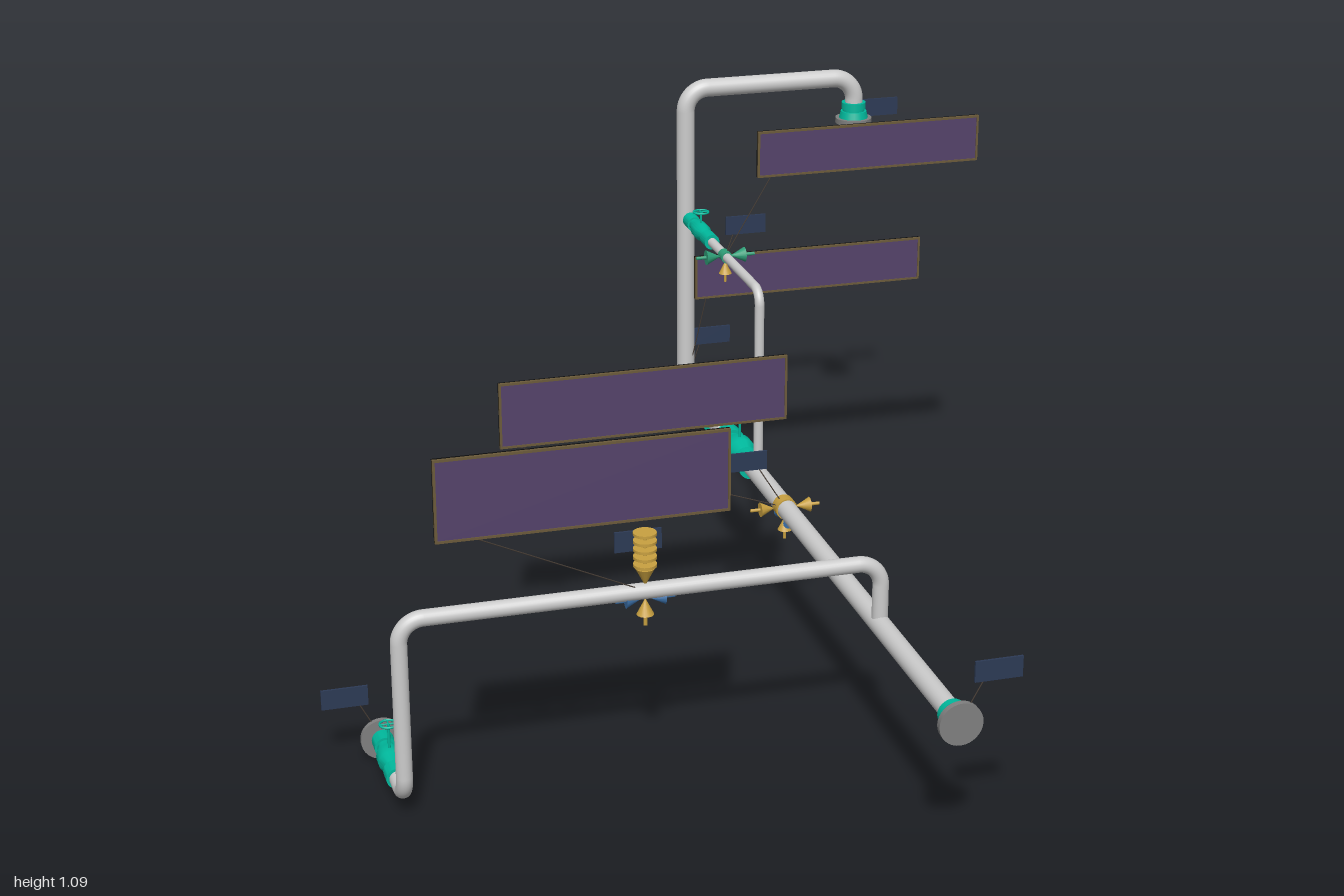
import * as THREE from 'three';
import { toCreasedNormals } from 'three/addons/utils/BufferGeometryUtils.js';

const mat = (color) => new THREE.MeshStandardMaterial({ color });
const V = (x, y, z) => new THREE.Vector3(x, y, z);
const UP = V(0, 1, 0);

export function createModel() {
  const model = new THREE.Group();
  const grey = mat(0xcccccc), steel = mat(0x808080), teal = mat(0x00b89c), green = mat(0x2f9f78);
  const yellow = mat(0xc8a040), blue = mat(0x3a6ea5), navy = mat(0x2c3a55);
  const purple = mat(0x54426a), black = mat(0x0c0c0c), gold = mat(0x6b5a3a), dark = mat(0x4a4038);

  function add(name, geometry, material, pos, parent = model) {
    const mesh = new THREE.Mesh(geometry, material);
    mesh.name = name;
    if (pos) mesh.position.copy(pos);
    parent.add(mesh);
    return mesh;
  }

  // Cylinder or cone running from a to b
  function rod(name, a, b, r1, r2, material, sides = 24, parent = model) {
    const mid = a.clone().add(b).multiplyScalar(0.5);
    const mesh = add(name, new THREE.CylinderGeometry(r2, r1, a.distanceTo(b), sides), material, mid, parent);
    mesh.quaternion.setFromUnitVectors(UP, b.clone().sub(a).normalize());
    return mesh;
  }

  // Pipe through corner points, with a round elbow at each inner one
  function pipe(name, points, radius, bend) {
    const group = new THREE.Group();
    group.name = name;
    model.add(group);
    let start = points[0];
    for (let i = 1; i < points.length; i++) {
      const p = points[i], next = points[i + 1];
      if (!next) { rod('pipeRun', start, p, radius, radius, grey, 24, group); break; }
      const toPrev = points[i - 1].clone().sub(p).normalize(), toNext = next.clone().sub(p).normalize();
      const at = (dir, d) => p.clone().addScaledVector(dir, d);
      const a = at(toPrev, bend), b = at(toNext, bend);
      rod('pipeRun', start, a, radius, radius, grey, 24, group);
      const arc = new THREE.CubicBezierCurve3(a, at(toPrev, bend * 0.448), at(toNext, bend * 0.448), b);
      add('elbow', new THREE.TubeGeometry(arc, 14, radius, 24), grey, null, group);
      start = b;
    }
  }

  // Valve lying along z with a handwheel above it
  function valve(name, pos, length, r, stem) {
    const group = new THREE.Group();
    group.name = name;
    group.position.copy(pos);
    model.add(group);
    const profile = [[0, -0.5], [0.88, -0.5], [0.88, -0.28], [0.68, -0.28], [0.68, -0.24], [1, -0.09],
      [1, 0.09], [0.68, 0.24], [0.68, 0.28], [0.88, 0.28], [0.88, 0.5], [0, 0.5]]
      .map(([x, y]) => new THREE.Vector2(x * r, y * length));
    const body = toCreasedNormals(new THREE.LatheGeometry(profile, 24), 0.5);
    add('valveBody', body, teal, null, group).rotation.x = Math.PI / 2;
    rod('valveStem', V(0, 0, 0), V(0, stem, 0), 0.003, 0.003, teal, 8, group);
    add('handwheel', new THREE.TorusGeometry(0.018, 0.0025, 8, 24), teal, V(0, stem, 0), group).rotation.x = Math.PI / 2;
    rod('wheelSpoke', V(-0.018, stem, 0), V(0.018, stem, 0), 0.0018, 0.0018, teal, 6, group);
    rod('wheelSpoke', V(0, stem, -0.018), V(0, stem, 0.018), 0.0018, 0.0018, teal, 6, group);
  }

  // Arrow pointing at a pipe from the given direction
  function arrow(center, dir, gap, material, size = 1) {
    const at = (d) => center.clone().addScaledVector(dir, gap + d * size);
    rod('supportArrowHead', at(0.032), at(0), 0.017 * size, 0.001, material, 16);
    rod('supportArrowStem', at(0.03), at(0.055), 0.004 * size, 0.004 * size, material, 8);
  }

  const line = (a, b) => rod('leaderLine', a, b, 0.0013, 0.0013, dark, 5);

  // Note board: black back, gold frame, purple face and a leader line
  function board(x0, x1, y0, y1, z, from, to) {
    const w = x1 - x0, h = y1 - y0, cx = (x0 + x1) / 2, cy = (y0 + y1) / 2;
    add('boardBack', new THREE.BoxGeometry(w, h, 0.005), black, V(cx, cy, z - 0.003));
    add('boardFace', new THREE.BoxGeometry(w - 0.008, h - 0.008, 0.004), purple, V(cx, cy, z + 0.0015));
    for (const s of [-1, 1]) {
      add('boardFrame', new THREE.BoxGeometry(w, 0.005, 0.007), gold, V(cx, cy + s * (h / 2 - 0.0025), z + 0.002));
      add('boardFrame', new THREE.BoxGeometry(0.005, h, 0.007), gold, V(cx + s * (w / 2 - 0.0025), cy, z + 0.002));
    }
    line(from, to);
  }

  // Small tag with its line
  function tag(x, y, z, to) {
    add('tag', new THREE.BoxGeometry(0.098, 0.044, 0.005), navy, V(x, y, z));
    line(V(x + Math.sign(to.x - x) * 0.03, y - 0.02, z), to);
  }

  // Pipes
  const X = 0.25, Y = 0.3, BACK = -0.905, BZ = 0.54, LOW = 0.045;
  pipe('mainPipe', [V(X, Y, 0.99), V(X, Y, BACK), V(X, 1.07, BACK), V(0.685, 1.07, BACK), V(0.685, 0.97, BACK)], 0.022, 0.055);
  pipe('branchPipe', [V(X, Y, BZ), V(X, 0.44, BZ), V(-0.75, 0.44, BZ), V(-0.75, LOW, BZ), V(-0.75, LOW, 0.28)], 0.017, 0.05);
  pipe('bypassPipe', [V(X, Y, -0.295), V(X, 0.75, -0.295), V(X, 0.75, BACK)], 0.011, 0.035);

  // Flanged ends with teal collars
  function flangedEnd(tip, dir) {
    const at = (d) => tip.clone().addScaledVector(dir, -d);
    rod('endFlange', at(0.013), tip, 0.045, 0.045, steel, 32);
    rod('collar', at(0.052), at(0.036), 0.03, 0.03, teal);
    rod('collar', at(0.036), at(0.03), 0.027, 0.027, teal);
    rod('collar', at(0.03), at(0.013), 0.032, 0.036, teal);
  }
  flangedEnd(V(X, Y, 1), V(0, 0, 1));
  flangedEnd(V(0.685, 0.955, BACK), V(0, -1, 0));
  rod('endFlange', V(-0.75, LOW, 0.28), V(-0.75, LOW, 0.268), 0.045, 0.045, steel, 32);

  // Valves and drain
  valve('mainValveFront', V(X, Y, -0.44), 0.2, 0.037, 0.1);
  valve('mainValveBack', V(X, Y, -0.74), 0.2, 0.037, 0.1);
  valve('bypassValve', V(X, 0.75, -0.77), 0.19, 0.021, 0.048);
  valve('branchValve', V(-0.75, LOW, 0.366), 0.175, 0.026, 0.08);
  rod('drainPipe', V(X, Y, -0.59), V(X, 0.23, -0.59), 0.006, 0.006, teal, 12);
  rod('drainCap', V(X, 0.24, -0.59), V(X, 0.207, -0.59), 0.009, 0.009, teal, 12);

  // Main pipe support: arrows at both sides, below and along the pipe
  const mainSupport = V(X, Y, -0.09), bypassSupport = V(X, 0.75, -0.565), hanger = V(-0.25, 0.44, BZ);
  const sides = [V(1, 0, 0), V(-1, 0, 0)], down = V(0, -1, 0);
  add('supportRing', new THREE.CylinderGeometry(0.025, 0.025, 0.03, 24), yellow, mainSupport).rotation.x = Math.PI / 2;
  sides.forEach((d) => arrow(mainSupport, d, 0.027, yellow));
  arrow(mainSupport, down, 0.025, yellow, 0.95);
  [1, -1].forEach((s) => arrow(V(X, 0.276, -0.09), V(0, 0, s), 0.006, blue, 0.9));

  // Bypass support
  add('supportRing', new THREE.CylinderGeometry(0.014, 0.014, 0.03, 20), green, bypassSupport).rotation.x = Math.PI / 2;
  sides.forEach((d) => arrow(bypassSupport, d, 0.014, green, 1.05));
  arrow(bypassSupport, down, 0.014, yellow, 0.9);

  // Branch support with spring
  arrow(hanger, down, 0.018, yellow, 1.05);
  sides.forEach((d) => arrow(V(-0.25, 0.422, BZ), d, 0.012, blue, 0.9));
  rod('springFoot', V(-0.25, 0.49, BZ), V(-0.25, 0.455, BZ), 0.02, 0.002, yellow, 16);
  rod('springCore', V(-0.25, 0.48, BZ), V(-0.25, 0.565, BZ), 0.004, 0.004, yellow, 8);
  for (let i = 0; i < 5; i++) {
    add('springCoil', new THREE.CylinderGeometry(0.024, 0.024, 0.006, 20), yellow, V(-0.25, 0.497 + i * 0.017, BZ));
  }

  // Anchor arrow at the rear elbow
  arrow(V(X, 0.276, BACK), V(0, 0, -1), 0.012, blue, 0.9);

  // Boards
  board(-0.695, -0.115, 0.655, 0.825, 0.672, V(-0.62, 0.657, 0.672), hanger);
  board(-0.415, 0.235, 0.535, 0.685, -0.047, V(-0.38, 0.537, -0.047), mainSupport);
  board(0.26, 0.853, 0.545, 0.655, -0.858, V(0.29, 0.547, -0.858), V(X, Y, BACK));
  board(0.315, 0.863, 0.948, 1.058, -0.527, V(0.35, 0.95, -0.527), bypassSupport);

  // Tags
  tag(-0.824, 0.15, 0.273, V(-0.75, LOW, 0.27));
  tag(-0.25, 0.527, 0.486, hanger);
  tag(0.158, 0.42, -0.095, mainSupport);
  tag(0.325, 0.405, 0.992, V(X, Y, 0.99));
  tag(0.315, 0.43, -0.9, V(X, Y, BACK));
  tag(0.3, 0.823, -0.568, bypassSupport);
  tag(0.785, 0.964, -0.995, V(0.685, 0.96, BACK));

  return model;
}
